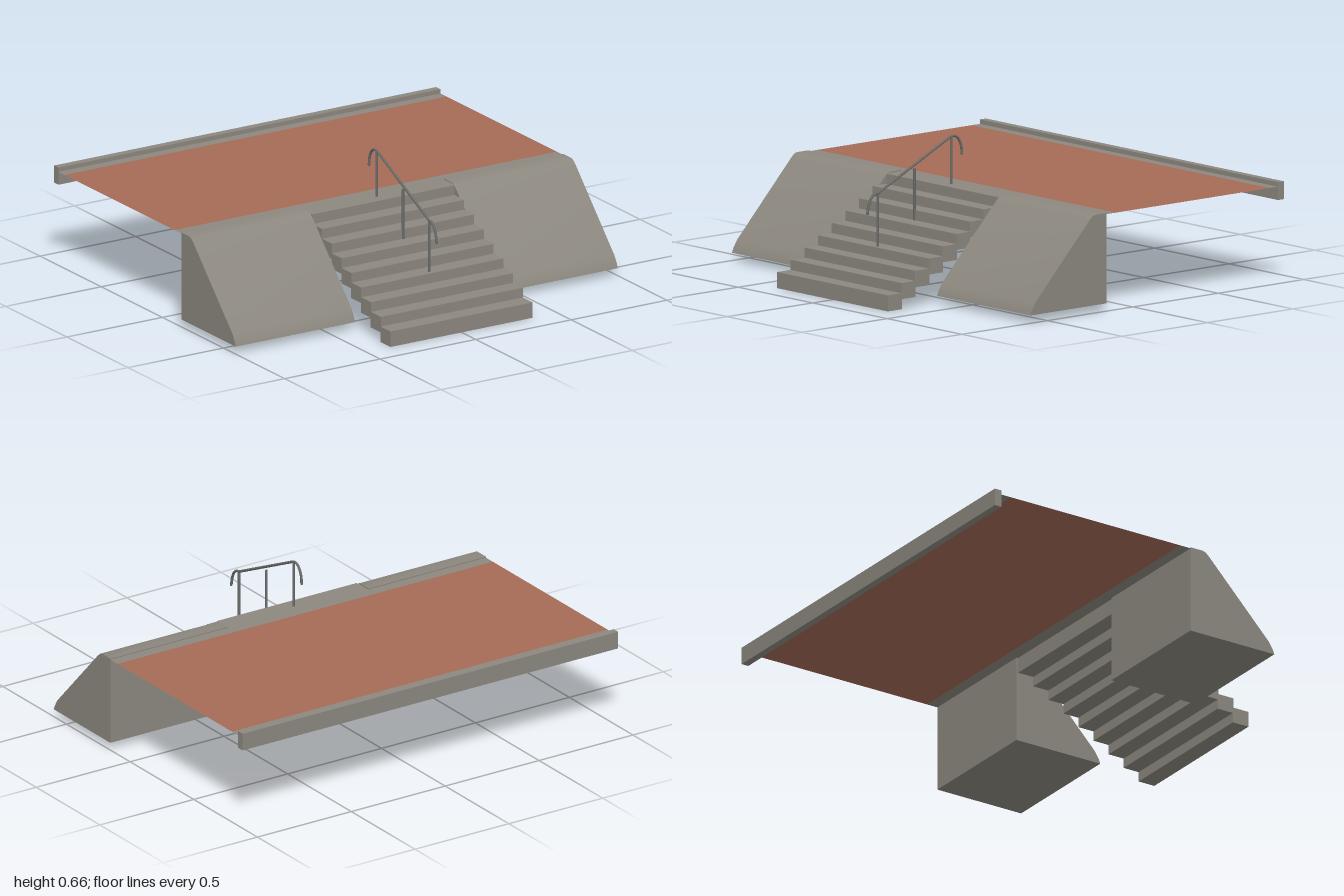
import * as THREE from 'three';
import { toCreasedNormals } from 'three/addons/utils/BufferGeometryUtils.js';

const concrete = new THREE.MeshStandardMaterial({ color: 0x8c887f, side: THREE.DoubleSide });
concrete.name = 'concrete';
const clay = new THREE.MeshStandardMaterial({ color: 0xa56b57, side: THREE.DoubleSide });
clay.name = 'clay paving';
const steel = new THREE.MeshStandardMaterial({ color: 0x6b6b69 });
steel.name = 'rail steel';

const DECK = 0.435; // height of the upper level
const STAIR_HALF = 0.372;

export function createModel() {
  const model = new THREE.Group();
  model.name = 'terraceStairs';

  const add = (name, geometry, material, x = 0, y = 0, z = 0) => {
    const mesh = new THREE.Mesh(geometry, material);
    mesh.name = name;
    mesh.position.set(x, y, z);
    model.add(mesh);
    return mesh;
  };
  // Flat horizontal sheet between two depths
  const sheet = (name, material, z0, z1) =>
    add(name, new THREE.PlaneGeometry(2, z1 - z0).rotateX(-Math.PI / 2), material, 0, DECK, (z0 + z1) / 2);

  // Upper level: paving with concrete borders
  sheet('paving', clay, -0.8, 0.1);
  sheet('rearBorder', concrete, -0.85, -0.8);
  sheet('frontBorder', concrete, 0.1, 0.235);

  // Rear curb
  add('rearCurb', new THREE.BoxGeometry(2, 0.08, 0.035), concrete, 0, 0.415, -0.867);

  // Sloped embankments either side of the stairs, profile in (z, y)
  const profile = new THREE.Shape([
    [0.155, 0.035], [0.6, 0.035], [0.592, 0.055], [0.572, 0.088],
    [0.255, 0.418], [0.237, 0.434], [0.222, 0.44], [0.155, 0.44],
  ].map(([z, y]) => new THREE.Vector2(z, y)));
  const width = 1 - 0.375;
  const bank = toCreasedNormals(
    new THREE.ExtrudeGeometry(profile, { depth: width, bevelEnabled: false })
      .translate(0, 0, -width / 2).rotateY(-Math.PI / 2), 0.6);
  add('leftEmbankment', bank, concrete, 1 - width / 2);
  add('rightEmbankment', bank, concrete, -1 + width / 2);

  // Stairs: overlapping slabs, the top one level with the deck
  const rise = 0.0453, run = 0.08, thick = 0.072;
  const slab = new THREE.BoxGeometry(STAIR_HALF * 2, thick, run + 0.003);
  for (let i = 0; i < 9; i++) {
    add(`step${i + 1}`, slab, concrete, 0, thick / 2 + i * rise, 0.8435 - i * run);
  }

  // Central handrail with turned-down ends
  const v = (z, y) => new THREE.Vector3(0, y, z);
  const rail = new THREE.CurvePath();
  rail.add(new THREE.CubicBezierCurve3(v(0.68, 0.36), v(0.672, 0.42), v(0.655, 0.445), v(0.62, 0.445)));
  rail.add(new THREE.LineCurve3(v(0.62, 0.445), v(0.195, 0.647)));
  rail.add(new THREE.CubicBezierCurve3(v(0.195, 0.647), v(0.155, 0.66), v(0.128, 0.62), v(0.128, 0.565)));
  add('handrail', new THREE.TubeGeometry(rail, 60, 0.006, 8), steel);
  for (const [z, y] of [[0.68, 0.36], [0.128, 0.565]]) {
    add('railEnd', new THREE.SphereGeometry(0.006, 8, 6), steel, 0, y, z);
  }

  // Posts: depth, foot and top
  for (const [z, y0, y1] of [[0.62, 0.2, 0.445], [0.405, 0.29, 0.53], [0.19, 0.43, 0.648]]) {
    add('railPost', new THREE.CylinderGeometry(0.006, 0.006, y1 - y0, 8), steel, 0, (y0 + y1) / 2, z);
  }

  return model;
}
